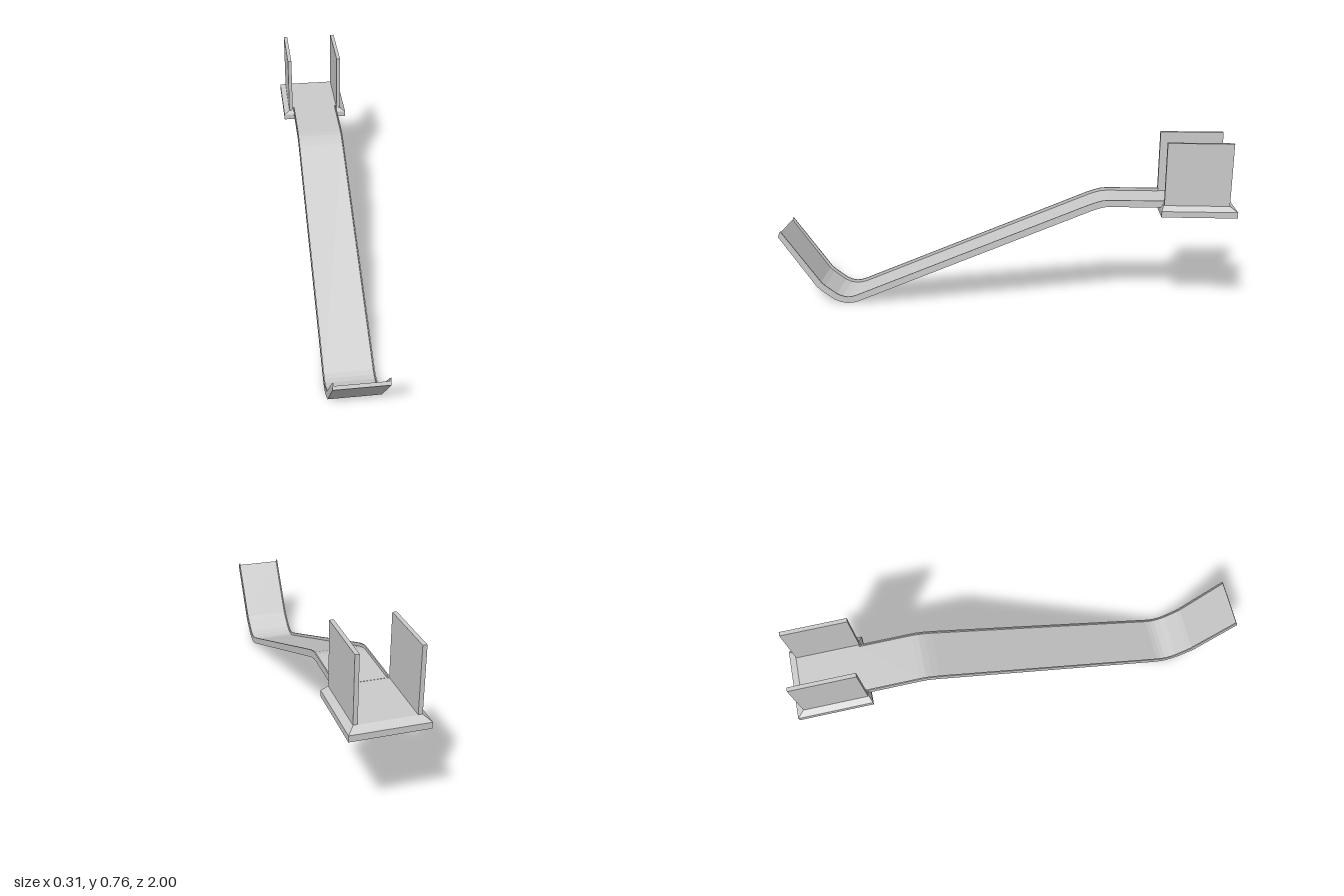
import * as THREE from 'three';
import { ConvexGeometry } from 'three/addons/geometries/ConvexGeometry.js';

const material = new THREE.MeshStandardMaterial({ color: 0xcccccc, flatShading: true });

// Underside of the chute as [z, y], from the raised tip back to the platform
const PATH = [
  [1, 0.311], [0.84, 0.077], [0.82, 0.059], [0.765, 0.018], [0.735, 0.005], [0.705, 0],
  [0.68, 0.002], [0.655, 0.009], [-0.385, 0.453], [-0.415, 0.464], [-0.44, 0.471],
  [-0.465, 0.473], [-0.695, 0.473],
].map(([z, y]) => new THREE.Vector2(z, y));

// Mitred upward offset of the path; the tip is cut at its own angle
function offsetPath(t) {
  const normal = (a, b) => new THREE.Vector2(b.y - a.y, a.x - b.x).normalize();
  return PATH.map((p, i) => {
    if (i === 0) return new THREE.Vector2(p.x - 0.4 * t, p.y + 0.87 * t);
    const n1 = normal(PATH[i - 1], p);
    const n2 = i < PATH.length - 1 ? normal(p, PATH[i + 1]) : n1;
    const n = n1.clone().add(n2).normalize();
    return p.clone().addScaledVector(n, t / n.dot(n1));
  });
}

// Strip following the path, extruded across x
function strip(name, thickness, width, x) {
  const shape = new THREE.Shape([...PATH, ...offsetPath(thickness).reverse()]);
  const geo = new THREE.ExtrudeGeometry(shape, { depth: width, bevelEnabled: false });
  geo.translate(0, 0, -width / 2).rotateY(-Math.PI / 2).translate(x, 0, 0);
  const mesh = new THREE.Mesh(geo, material);
  mesh.name = name;
  return mesh;
}

export function createModel() {
  const model = new THREE.Group();
  model.name = 'slide';

  // Chute floor with a thin raised rim on each side
  const chute = new THREE.Group();
  chute.name = 'chute';
  chute.add(strip('chuteFloor', 0.017, 0.204, 0));
  for (const s of [1, -1]) {
    chute.add(strip(s > 0 ? 'leftRim' : 'rightRim', 0.03, 0.005, s * 0.1045));
  }
  model.add(chute);

  // Platform slab with bevelled upper edges: [y, half width, front z, back z]
  const corners = [];
  for (const [y, w, front, back] of [
    [0.444, 0.154, -0.68, -1], [0.47, 0.154, -0.68, -1], [0.489, 0.128, -0.69, -0.97],
  ]) {
    for (const x of [-w, w]) {
      corners.push(new THREE.Vector3(x, y, front), new THREE.Vector3(x, y, back));
    }
  }
  const platform = new THREE.Mesh(new ConvexGeometry(corners), material);
  platform.name = 'platform';
  model.add(platform);

  // Upright side panels
  for (const s of [1, -1]) {
    const panel = new THREE.Mesh(new THREE.BoxGeometry(0.017, 0.274, 0.276), material);
    panel.name = s > 0 ? 'leftPanel' : 'rightPanel';
    panel.position.set(s * 0.1195, 0.622, -0.831);
    model.add(panel);
  }
  return model;
}
